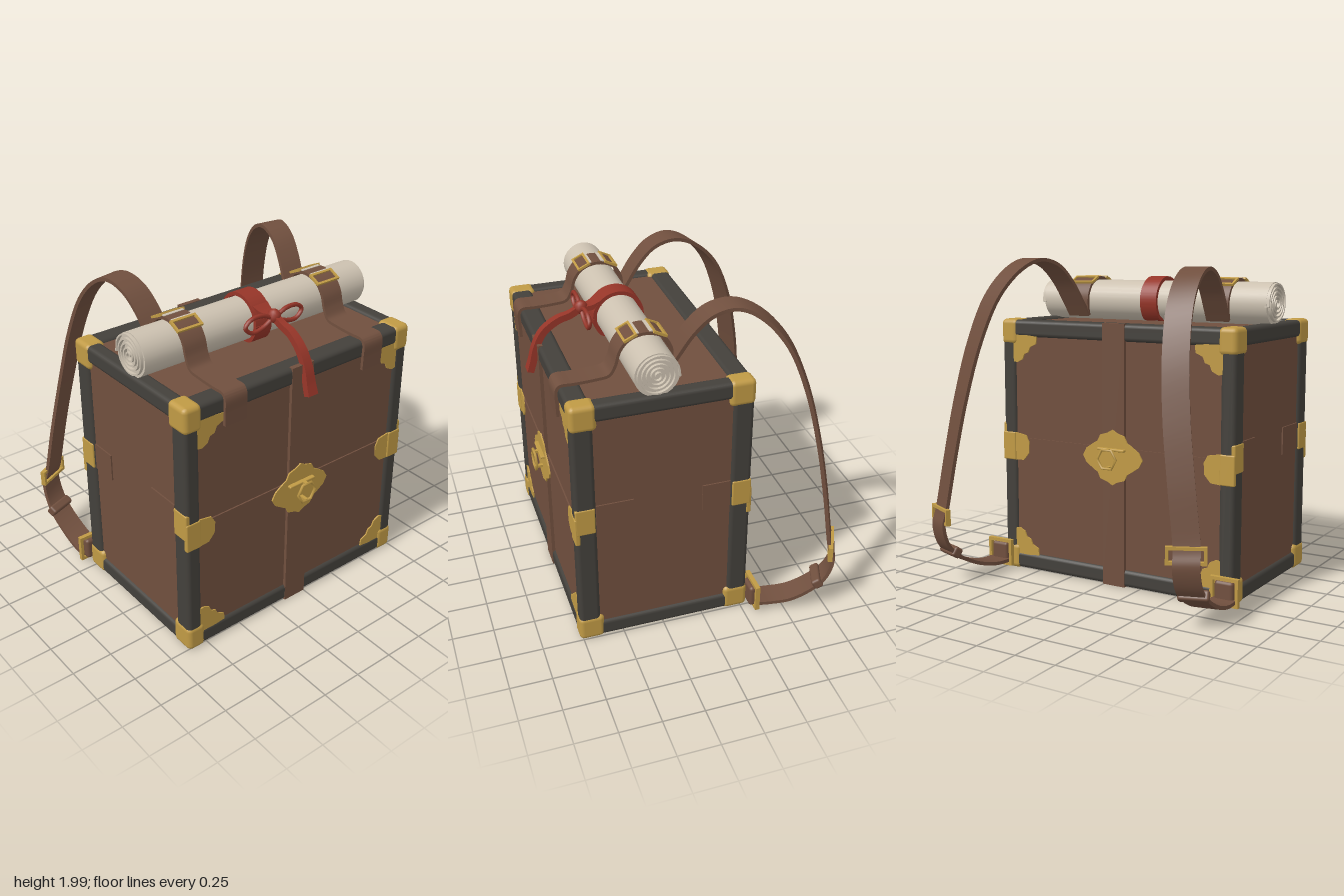
import * as THREE from 'three';
import { toCreasedNormals } from 'three/addons/utils/BufferGeometryUtils.js';
import { RoundedBoxGeometry } from 'three/addons/geometries/RoundedBoxGeometry.js';

const paint = (name, color) => Object.assign(new THREE.MeshStandardMaterial({ color }), { name });
const V = (x, y, z) => new THREE.Vector3(x, y, z);

// Flat strap swept along points; yaw turns its width away from the z axis
function ribbon(points, width, thick, yaw = () => 0, steps = points.length * 5) {
  const curve = new THREE.CatmullRomCurve3(points.map(p => V(...p)), false, 'centripetal');
  const rings = [];
  for (let i = 0; i <= steps; i++) {
    const t = i / steps, p = curve.getPoint(t), a = yaw(t);
    const w = V(Math.sin(a), 0, Math.cos(a));
    const n = curve.getTangent(t).cross(w).normalize().multiplyScalar(thick / 2);
    w.multiplyScalar((typeof width === 'function' ? width(t) : width) / 2);
    rings.push([[1, -1], [1, 1], [-1, 1], [-1, -1]].map(([s, r]) =>
      p.clone().addScaledVector(w, s).addScaledVector(n, r)));
  }
  const pos = [];
  const quad = (a, b, c, d) => [a, b, c, a, c, d].forEach(v => pos.push(v.x, v.y, v.z));
  for (let i = 0; i < steps; i++) for (let j = 0; j < 4; j++) {
    const k = (j + 1) % 4;
    quad(rings[i][j], rings[i][k], rings[i + 1][k], rings[i + 1][j]);
  }
  quad(...rings[0].slice().reverse());
  quad(...rings[steps]);
  const g = new THREE.BufferGeometry();
  g.setAttribute('position', new THREE.Float32BufferAttribute(pos, 3));
  return toCreasedNormals(g, 0.7);
}

// Thin plate with a [z, y] outline, centred on the plane at x
function sidePlate(outline, x, t = 0.009) {
  const shape = new THREE.Shape(outline.map(p => new THREE.Vector2(...p)));
  return new THREE.ExtrudeGeometry(shape, { depth: t, bevelEnabled: false })
    .rotateY(-Math.PI / 2).translate(x + t / 2, 0, 0);
}

// Rectangular buckle frame in the xy plane
function frame(w, h, bar, depth) {
  const rect = (S, a, b) => new S([[-a, -b], [a, -b], [a, b], [-a, b]].map(p => new THREE.Vector2(...p)));
  const shape = rect(THREE.Shape, w / 2, h / 2);
  shape.holes.push(rect(THREE.Path, w / 2 - bar, h / 2 - bar));
  return new THREE.ExtrudeGeometry(shape, { depth, bevelEnabled: false }).translate(0, 0, -depth / 2);
}

export function createModel() {
  const leather = paint('leather', 0x704f3e), trim = paint('dark trim', 0x43403b);
  const brass = paint('brass', 0xc09a45), paper = paint('paper', 0xccc1b0), red = paint('red ribbon', 0x963528);
  const root = new THREE.Group();
  root.name = 'chestBackpack';
  const add = (name, geo, mat, x = 0, y = 0, z = 0) => {
    const m = new THREE.Mesh(geo, mat);
    m.name = name;
    m.position.set(x, y, z);
    root.add(m);
    return m;
  };
  const box = (name, mat, w, h, d, x, y, z, r = 0) =>
    add(name, r ? new RoundedBoxGeometry(w, h, d, 2, r) : new THREE.BoxGeometry(w, h, d), mat, x, y, z);

  // Chest body, centred at (cx, cy, cz) with half sizes (hx, hy, hz)
  const cx = 0.24, cy = 0.8125, cz = 0.065, hx = 0.525, hy = 0.8, hz = 0.815;
  const tx = 0.125, ty = 0.105, tz = 0.095;
  box('body', leather, 2 * hx - 0.035, 2 * hy - 0.035, 2 * hz - 0.035, cx, cy, cz);
  const signs = [-1, 1];

  for (const a of signs) for (const b of signs) {
    // Dark edge bars
    box('edgeBarX', trim, 2 * hx, ty, tz, cx, cy + a * (hy - ty / 2), cz + b * (hz - tz / 2), 0.025);
    box('edgeBarY', trim, tx, 2 * hy, tz, cx + a * (hx - tx / 2), cy, cz + b * (hz - tz / 2), 0.025);
    box('edgeBarZ', trim, tx, ty, 2 * hz, cx + a * (hx - tx / 2), cy + b * (hy - ty / 2), cz, 0.025);
    // Brass clips halfway up the upright bars, and their tabs
    box('frontClip', brass, tx - 0.01, 0.17, 0.03, cx + a * (hx - tx / 2 + 0.004), 0.873, cz + b * (hz - 0.01), 0.008);
    box('sideClip', brass, 0.03, 0.18, tz, cx + a * (hx - 0.01), 0.81, cz + b * (hz - tz / 2 + 0.004), 0.008);
    const clip = [[0.08, -0.09], [0.15, -0.085], [0.19, -0.04], [0.195, 0.03], [0.17, 0.075], [0.08, 0.09]];
    add('clipTab', sidePlate(clip.map(([z, y]) => [cz + b * (hz - z), 0.81 + y]), cx + a * (hx - 0.007)), brass);
    // Leather tabs on the front and back faces
    const w = a < 0 ? 0.17 : 0.22;
    box('frontTab', leather, w, 0.17, 0.012, cx + a * (hx - tx - w / 2), 0.877, cz + b * (hz - 0.015));

    // Corner caps with scalloped plates on the side faces
    for (const c of signs) {
      box('cornerCap', brass, 0.155, 0.16, 0.12, cx + a * (hx - 0.071), cy + b * (hy - 0.074), cz + c * (hz - 0.054), 0.03);
      const scallop = [[0.08, 0.08], [0.26, 0.1], [0.255, 0.145], [0.21, 0.165], [0.195, 0.2],
        [0.165, 0.21], [0.15, 0.245], [0.11, 0.265], [0.08, 0.26]];
      add('cornerPlate', sidePlate(scallop.map(([z, y]) => [cz + c * (hz - z), cy + b * (hy - y)]),
        cx + a * (hx - 0.008)), brass);
    }
  }

  // Belts, clasp plates and ring pulls on both side faces
  for (const s of signs) {
    box('uprightBelt', leather, 0.03, 2 * hy + 0.006, 0.155, cx + s * (hx - 0.012), cy, 0.077);
    box('levelBelt', leather, 0.012, 0.115, 2 * (hz - tz), cx + s * (hx - 0.015), 0.81, cz);
    const quarter = [[0.21, 0], [0.185, 0.045], [0.125, 0.085], [0.105, 0.095], [0.085, 0.135], [0.035, 0.15], [0, 0.17]];
    const half = [...quarter, ...quarter.slice(0, -1).reverse().map(([z, y]) => [-z, y])];
    const outline = [...half, ...half.slice(1, -1).reverse().map(([z, y]) => [z, -y])];
    add('claspPlate', sidePlate(outline.map(([z, y]) => [0.075 + z, 0.81 + y]), cx + s * (hx + 0.008)), brass);
    add('claspRing', new THREE.TorusGeometry(0.065, 0.009, 6, 6).rotateY(Math.PI / 2), brass,
      cx + s * (hx + 0.06), 0.805, 0.065);
    for (const e of signs) box('claspPost', brass, 0.06, 0.016, 0.02, cx + s * (hx + 0.034), 0.805 + e * 0.055, 0.065);
    box('claspPin', brass, 0.03, 0.016, 0.19, cx + s * (hx + 0.022), 0.86, 0.075, 0.006);
  }

  // Rolled scroll with a spiral at each end
  const sx = 0.275, sy = 1.728, sr = 0.128;
  add('scroll', new THREE.CylinderGeometry(sr, sr, 1.59, 28).rotateX(Math.PI / 2), paper, sx, sy, 0.067);
  const spiral = Array.from({ length: 50 }, (_, i) => {
    const a = i * 0.58, r = 0.01 + 0.114 * i / 49;
    return [sx + r * Math.cos(a), sy + r * Math.sin(a), 0];
  });
  for (const s of signs) add('scrollSpiral', ribbon(spiral, 0.03, 0.01, undefined, 150), paper, 0, 0, 0.067 + s * 0.799);

  // Red band, bow and hanging tail
  const band = Array.from({ length: 25 }, (_, i) => {
    const a = i / 24 * Math.PI * 2;
    return [sx + 0.143 * Math.cos(a), Math.max(1.617, sy + 0.143 * Math.sin(a)), 0.075];
  });
  add('ribbonBand', ribbon(band, 0.115, 0.022), red);
  add('ribbonNeck', ribbon([[0.38, 1.825, 0.07], [0.43, 1.8, 0.065], [0.49, 1.795, 0.055]],
    t => 0.11 - 0.06 * t, 0.03), red);
  add('bowKnot', new THREE.IcosahedronGeometry(0.042, 1).scale(1, 1, 0.9), red, 0.49, 1.8, 0.055);
  for (const s of signs) {
    const loop = [[0, 0, 0.01], [0, 0.035, 0.09], [0, 0.03, 0.17], [0, -0.005, 0.205], [0, -0.05, 0.16], [0, -0.04, 0.08], [0, 0, 0.01]];
    const path = new THREE.CatmullRomCurve3(loop.map(([x, y, z]) => V(0.49 + x, 1.79 + y, 0.055 + s * z)));
    add('bowLoop', new THREE.TubeGeometry(path, 24, 0.013, 6), red);
  }
  add('ribbonTail', ribbon([[0.49, 1.8, 0.055], [0.56, 1.765, 0.05], [0.63, 1.745, 0.05], [0.72, 1.68, 0.055],
    [0.77, 1.59, 0.055], [0.795, 1.5, 0.055], [0.815, 1.44, 0.055]], t => 0.035 + 0.035 * t, 0.04), red);

  // Straps: each holds the scroll, then arcs out as a shoulder strap
  const holder = [[0.776, 1.44], [0.778, 1.52], [0.778, 1.6], [0.76, 1.625], [0.68, 1.627], [0.56, 1.632], [0.48, 1.645],
    [0.445, 1.7], [0.42, 1.78], [0.37, 1.84], [0.275, 1.868], [0.18, 1.84], [0.13, 1.77], [0.122, 1.7], [0.135, 1.63]];
  const arc = [[0.13, 1.63], [0.08, 1.72], [0, 1.85], [-0.1, 1.95], [-0.23, 1.985], [-0.36, 1.93], [-0.5, 1.77],
    [-0.61, 1.5], [-0.69, 1.15], [-0.74, 0.8], [-0.775, 0.46], [-0.8, 0.38], [-0.77, 0.26], [-0.7, 0.18], [-0.55, 0.095],
    [-0.43, 0.065], [-0.32, 0.065]];
  const sides = [
    { s: 1, z0: 0.56, drop: 0.88, zs: [0.56, 0.565, 0.575, 0.59, 0.605, 0.62, 0.645, 0.68, 0.73, 0.79, 0.845, 0.855, 0.855, 0.855, 0.85, 0.85, 0.85] },
    { s: -1, z0: -0.44, drop: 1, zs: [-0.44, -0.455, -0.48, -0.51, -0.545, -0.59, -0.65, -0.705, -0.76, -0.81, -0.86, -0.865, -0.86, -0.85, -0.82, -0.78, -0.76] },
  ];
  for (const { s, z0, drop, zs } of sides) {
    add('scrollStrap', ribbon(holder.map(([x, y]) => [x, y, z0]), 0.145, 0.018), leather);
    const lift = y => y > 1.6 ? 1.6 + (y - 1.6) * drop : y;
    const yaw = t => s * 0.46 * Math.sin(Math.PI * Math.min(1, Math.max(0, (t - 0.2) / 0.8)));
    add('shoulderStrap', ribbon(arc.map(([x, y], i) => [x, lift(y), zs[i]]), 0.15, 0.022, yaw), leather);

    // Brass buckles over the scroll, with paper showing through the slots
    for (const [x, tilt] of [[0.19, 0.45], [0.36, -0.45]]) {
      const f = add('scrollBuckle', frame(0.085, 0.17, 0.014, 0.014).rotateX(-Math.PI / 2), brass, x, 1.857, z0);
      f.rotation.z = tilt;
    }
    for (const x of [0.24, 0.318]) box('strapSlot', paper, 0.02, 0.008, 0.135, x, 1.874, z0);

    // Adjuster buckle, strap keeper and anchor buckle
    const adjuster = add('adjusterBuckle', frame(0.225, 0.1, 0.018, 0.03).rotateY(Math.PI / 2), brass, -0.782, 0.44, zs[10]);
    adjuster.rotation.y = s * 0.46;
    const keeper = box('strapKeeper', leather, 0.06, 0.065, 0.175, -0.71, 0.2, zs[13], 0.015);
    keeper.rotation.set(0, s * 0.35, -0.6, 'YXZ');
    add('anchorBuckle', frame(0.18, 0.17, 0.02, 0.028).rotateY(Math.PI / 2), brass, -0.325, 0.115, zs[16]);
    box('anchorTab', leather, 0.06, 0.14, 0.12, -0.315, 0.11, zs[16], 0.02);
  }
  return root;
}
